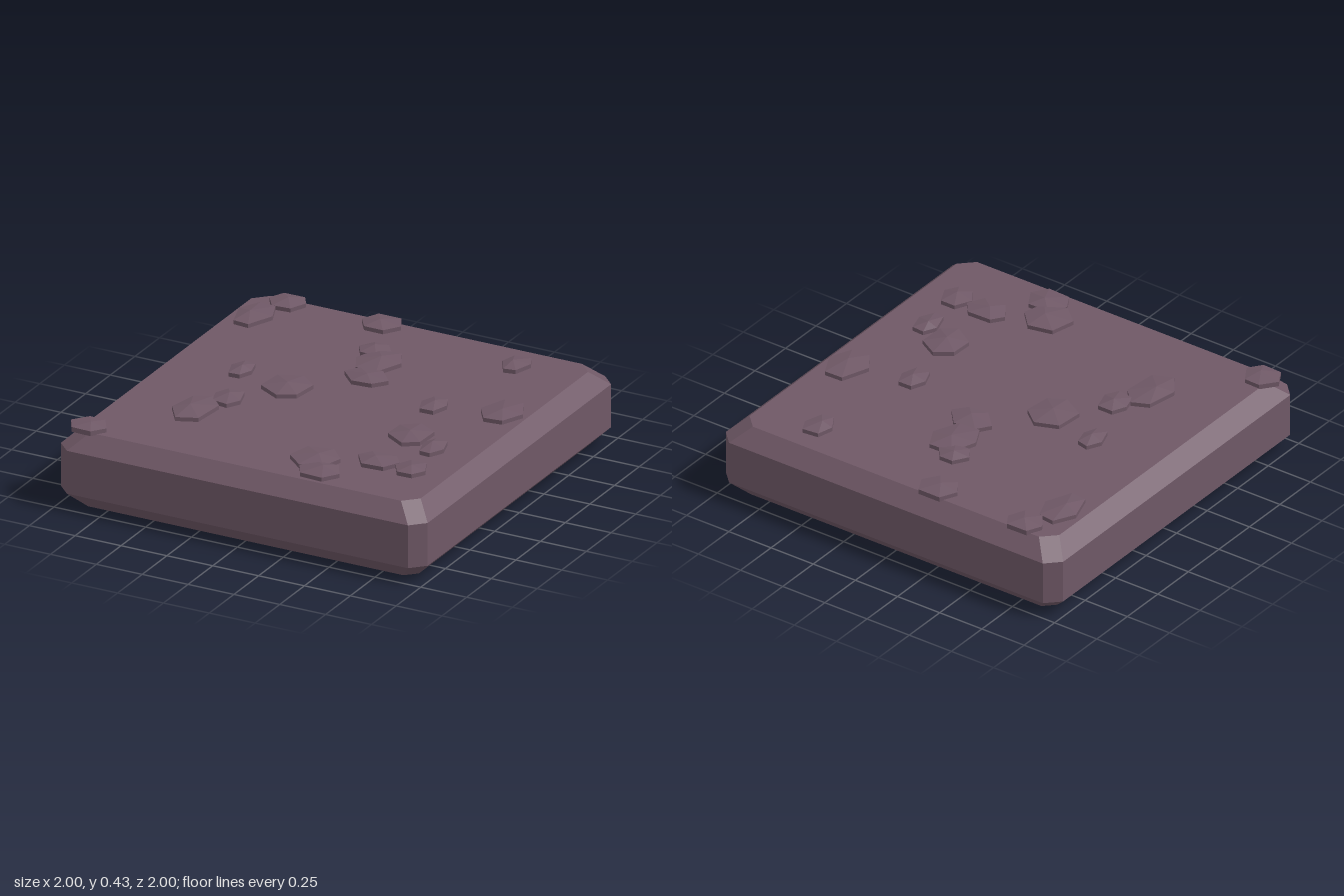
import * as THREE from 'three';

// Closed faceted solid through stacked rings of [x, y, z]; the ends are fans around a centre point
function loft(rings, bottomCentre, topCentre) {
  const pos = [];
  const tri = (...points) => points.forEach((p) => pos.push(...p));
  const n = rings[0].length;
  const last = rings[rings.length - 1];
  for (let i = 0; i < n; i++) {
    const j = (i + 1) % n;
    for (let k = 0; k < rings.length - 1; k++) {
      const lower = rings[k], upper = rings[k + 1];
      tri(lower[i], upper[i], upper[j]);
      tri(lower[i], upper[j], lower[j]);
    }
    tri(bottomCentre, rings[0][i], rings[0][j]);
    tri(topCentre, last[j], last[i]);
  }
  const geometry = new THREE.BufferGeometry();
  geometry.setAttribute('position', new THREE.Float32BufferAttribute(pos, 3));
  geometry.computeVertexNormals();
  return geometry;
}

// Square with cut corners: half size h, corner cut
function cutSquare(h, cut, y) {
  const c = h - cut;
  return [[h, -c], [h, c], [c, h], [-c, h], [-h, c], [-h, -c], [-c, -h], [c, -h]]
    .map(([x, z]) => [x, y, z]);
}

function seeded(seed) {
  let s = seed;
  return () => (s = (s * 16807) % 2147483647) / 2147483647;
}

// Irregular six-sided outline, stretched to fill the given half sizes
function stoneOutline(x, z, rx, rz, turn, random) {
  const points = [];
  for (let i = 0; i < 6; i++) {
    const a = THREE.MathUtils.degToRad(i * 60 + turn + (random() - 0.5) * 16);
    points.push([Math.cos(a), Math.sin(a)]);
  }
  const fit = (axis, centre, half) => {
    const values = points.map((p) => p[axis]);
    const lo = Math.min(...values), hi = Math.max(...values);
    return values.map((v) => centre + half * ((2 * (v - lo)) / (hi - lo) - 1));
  };
  const xs = fit(0, x, rx), zs = fit(1, z, rz);
  return (y) => xs.map((px, i) => [px, y, zs[i]]);
}

// Stones: centre x, centre z, half width, half depth, turn in degrees
const STONES = [
  [-0.73, -0.86, 0.095, 0.08, 0],
  [-0.80, -0.66, 0.095, 0.13, 0],
  [-0.21, -0.855, 0.105, 0.083, 0],
  [0.585, -0.735, 0.07, 0.087, -5],
  [-0.09, -0.565, 0.085, 0.07, 0],
  [-0.01, -0.45, 0.113, 0.125, 0],
  [0.025, -0.265, 0.123, 0.085, -4],
  [-0.55, -0.065, 0.06, 0.083, 5],
  [-0.26, 0.01, 0.112, 0.13, 32],
  [0.465, -0.125, 0.067, 0.08, -3],
  [0.795, -0.215, 0.107, 0.123, -4],
  [-0.445, 0.265, 0.075, 0.085, 4],
  [-0.53, 0.45, 0.097, 0.152, 40],
  [0.53, 0.23, 0.095, 0.123, 30],
  [0.70, 0.315, 0.063, 0.085, 5],
  [0.54, 0.58, 0.112, 0.078, 0],
  [0.725, 0.585, 0.082, 0.078, 0],
  [0.26, 0.69, 0.12, 0.118, -13],
  [0.35, 0.815, 0.11, 0.085, 0],
  [-0.88, 0.865, 0.1, 0.08, 3],
];

export function createModel() {
  const group = new THREE.Group();
  group.name = 'stoneFloorTile';
  const rock = new THREE.MeshStandardMaterial({ color: 0x6f5866, flatShading: true });
  rock.name = 'mauve rock';

  // Slab with bevelled edges and cut corners
  const slab = new THREE.Mesh(loft([
    cutSquare(0.915, 0.055, 0),
    cutSquare(1, 0.07, 0.085),
    cutSquare(1, 0.07, 0.31),
    cutSquare(0.918, 0.07, 0.39),
  ], [0, 0, 0], [0, 0.39, 0]), rock);
  slab.name = 'slab';
  group.add(slab);

  // Flat stones with upright rims and low peaked tops
  const random = seeded(77);
  const stones = new THREE.Group();
  stones.name = 'stones';
  STONES.forEach(([x, z, rx, rz, turn], i) => {
    const ring = stoneOutline(x, z, rx, rz, turn, random);
    const peak = [x + (random() - 0.5) * rx * 0.4, 0.429, z + (random() - 0.5) * rz * 0.4];
    const stone = new THREE.Mesh(loft([ring(0.386), ring(0.411)], [x, 0.386, z], peak), rock);
    stone.name = `stone${i + 1}`;
    stones.add(stone);
  });
  group.add(stones);
  return group;
}
